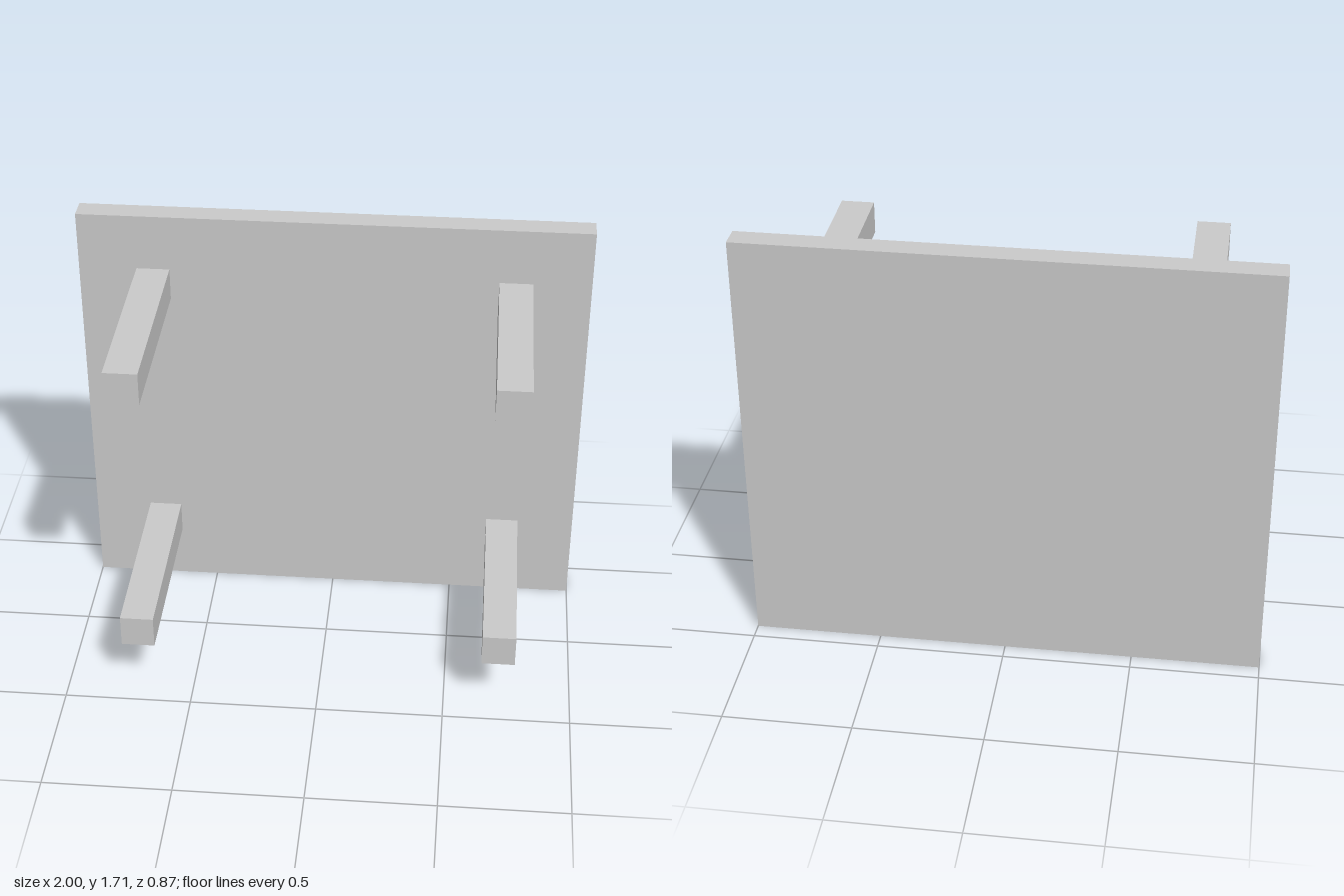
import * as THREE from 'three';

export function createModel() {
  const model = new THREE.Group();
  model.name = 'table';
  const material = new THREE.MeshStandardMaterial({ color: 0xcccccc, flatShading: true });

  const height = 1.712, back = -0.435, front = 0.435, topThickness = 0.093;
  const legSize = 0.13, legLength = front - back - topThickness;

  function addBox(name, size, position) {
    const mesh = new THREE.Mesh(new THREE.BoxGeometry(...size), material);
    mesh.name = name;
    mesh.position.set(...position);
    model.add(mesh);
  }

  // Table top, standing on its edge
  addBox('tableTop', [2, height, topThickness], [0, height / 2, back + topThickness / 2]);

  // Four square legs pointing forward
  for (const [side, sx] of [['left', 1], ['right', -1]]) {
    for (const [level, sy] of [['Upper', 1], ['Lower', -1]]) {
      addBox(`${side}${level}Leg`, [legSize, legSize, legLength],
        [sx * 0.708, height / 2 + sy * 0.564, front - legLength / 2]);
    }
  }
  return model;
}
